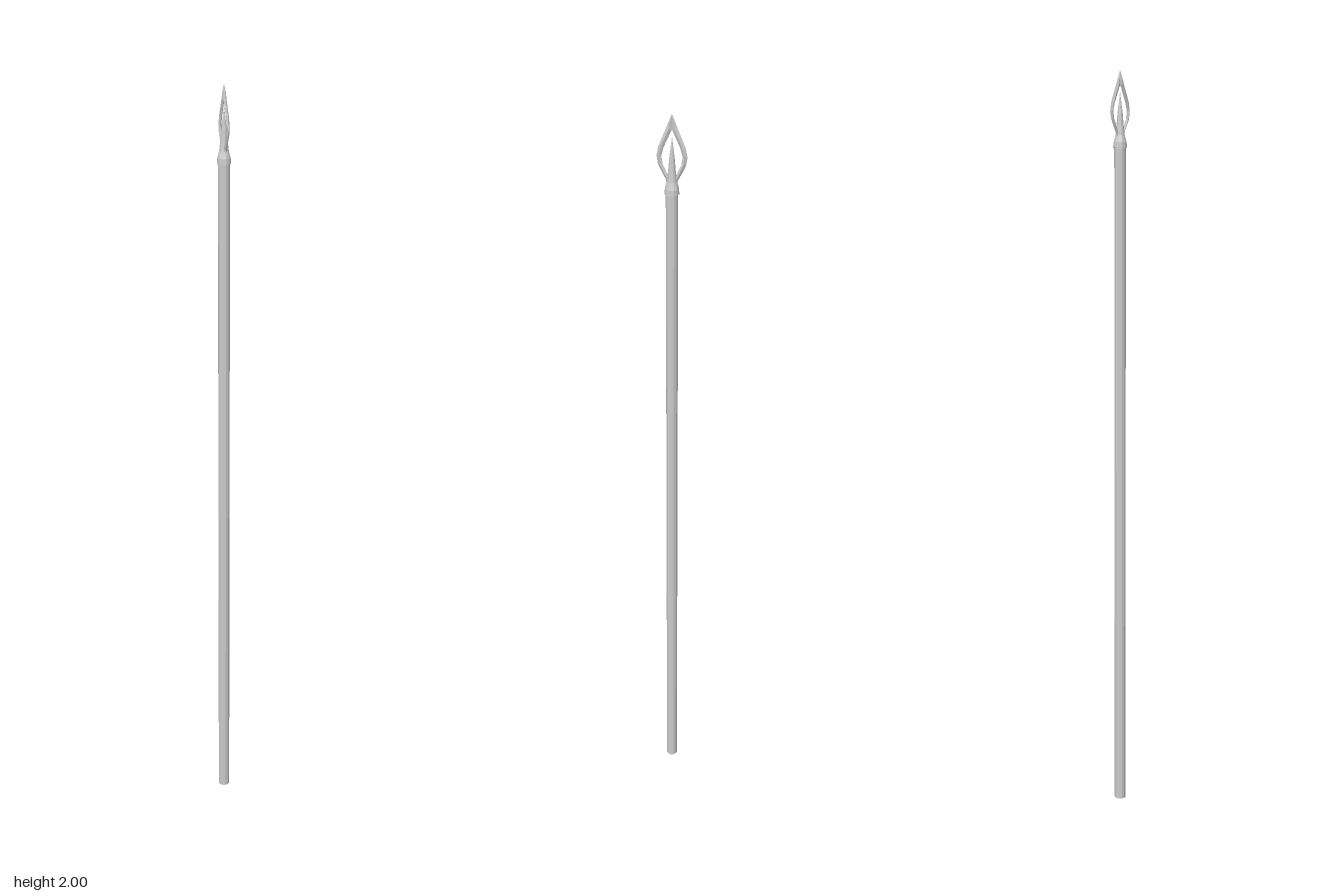
import * as THREE from 'three';

const SIDES = 12;
const material = new THREE.MeshStandardMaterial({ color: 0xcccccc, flatShading: true });

function addMesh(parent, name, geometry) {
  const mesh = new THREE.Mesh(geometry, material);
  mesh.name = name;
  parent.add(mesh);
  return mesh;
}

function lathe(points) {
  return new THREE.LatheGeometry(points.map(([r, y]) => new THREE.Vector2(r, y)), SIDES);
}

// Curved blade with a diamond section; each row is [y, inner z, outer z, half thickness]
function bladeGeometry(rows) {
  const positions = [];
  const index = [];
  for (const [y, inner, outer, t] of rows) {
    const mid = (inner + outer) / 2;
    positions.push(0, y, outer, t, y, mid, 0, y, inner, -t, y, mid);
  }
  for (let i = 0; i < rows.length - 1; i++) {
    for (let k = 0; k < 4; k++) {
      const a = i * 4 + k;
      const b = i * 4 + ((k + 1) % 4);
      index.push(a, b, b + 4, a, b + 4, a + 4);
    }
  }
  const geometry = new THREE.BufferGeometry();
  geometry.setAttribute('position', new THREE.Float32BufferAttribute(positions, 3));
  geometry.setIndex(index);
  geometry.computeVertexNormals();
  return geometry;
}

export function createModel() {
  const spear = new THREE.Group();
  spear.name = 'spear';

  // Long straight pole, closed at both ends
  const shaft = addMesh(spear, 'shaft', new THREE.CylinderGeometry(0.0155, 0.0155, 1.81, SIDES));
  shaft.position.y = 0.905;

  const head = new THREE.Group();
  head.name = 'spearhead';
  spear.add(head);

  // Flared socket tapering into the slim central spike
  addMesh(head, 'socket', lathe([
    [0, 1.803], [0.0185, 1.803], [0.0175, 1.817], [0.0125, 1.835], [0.0095, 1.86], [0.007, 1.89], [0, 1.945],
  ]));

  // Two bowed blades that meet at the tip, leaving an opening either side of the spike
  const rows = [
    [1.822, 0.002, 0.012, 0.004],
    [1.84, 0.006, 0.016, 0.004],
    [1.858, 0.014, 0.026, 0.004],
    [1.877, 0.023, 0.035, 0.004],
    [1.897, 0.026, 0.038, 0.004],
    [1.918, 0.02, 0.034, 0.004],
    [1.94, 0.01, 0.025, 0.004],
    [1.962, 0, 0.0155, 0.004],
    [1.98, 0, 0.0085, 0.003],
    [2.0, 0, 0, 0],
  ];
  for (const [name, turn] of [['frontBlade', 0], ['backBlade', Math.PI]]) {
    addMesh(head, name, bladeGeometry(rows)).rotation.y = turn;
  }

  return spear;
}
